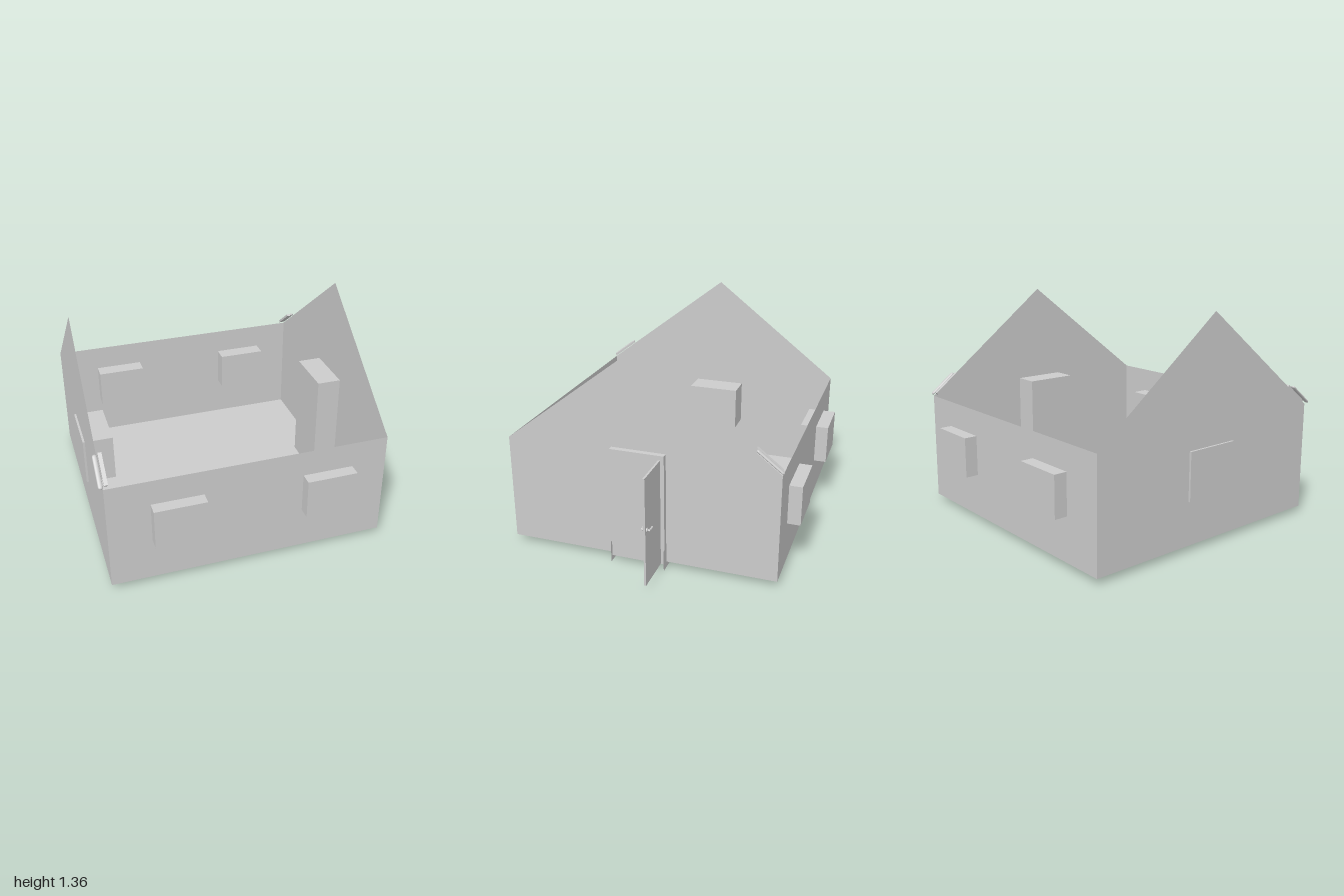
import * as THREE from 'three';

const material = new THREE.MeshStandardMaterial({ color: 0xcccccc, side: THREE.DoubleSide });

export function createModel() {
  const house = new THREE.Group();
  house.name = 'openHouse';

  const add = (name, geometry, parent = house) => {
    const mesh = new THREE.Mesh(geometry, material);
    mesh.name = name;
    parent.add(mesh);
    return mesh;
  };
  // box given by its limits on each axis
  const block = (name, [x0, x1], [y0, y1], [z0, z1], parent) => {
    const mesh = add(name, new THREE.BoxGeometry(x1 - x0, y1 - y0, z1 - z0), parent);
    mesh.position.set((x0 + x1) / 2, (y0 + y1) / 2, (z0 + z1) / 2);
    return mesh;
  };

  const left = 0.715, right = -0.972, depth = 0.84;
  const base = 0.037, eaves = 0.713, ridge = 1.36;
  const width = left - right, midX = (left + right) / 2;

  // Floor sheet
  const floor = add('floor', new THREE.PlaneGeometry(width, depth * 2).rotateX(-Math.PI / 2));
  floor.position.set(midX, base, 0);

  // Long walls, each with two window boxes passing through
  for (const s of [1, -1]) {
    const wall = add(s > 0 ? 'frontWall' : 'backWall', new THREE.PlaneGeometry(width, eaves - base));
    wall.position.set(midX, (base + eaves) / 2, s * depth);
    if (s < 0) wall.rotation.y = Math.PI;
    const z = s > 0 ? [0.73, 0.915] : [-0.92, -0.738];
    block('window', [-0.72, -0.41], [0.305, 0.555], z);
    block('window', [0.19, 0.5], [0.303, 0.552], z);
  }

  // Gable walls
  const gable = new THREE.Shape([
    [-depth, base], [depth, base], [depth, eaves], [0, ridge], [-depth, eaves],
  ].map(([x, y]) => new THREE.Vector2(x, y)));
  for (const [name, x, turn] of [['leftGable', left, 1], ['rightGable', right, -1]]) {
    const wall = add(name, new THREE.ShapeGeometry(gable));
    wall.position.x = x;
    wall.rotation.y = turn * Math.PI / 2;
  }
  block('gableWindow', [-0.985, -0.8], [0.303, 0.597], [-0.178, 0.17]);

  // Door casing with a thin foot plate on both sides
  block('doorCasing', [0.563, 0.748], [0.035, 0.743], [-0.165, 0.17]);
  for (const z of [0.171, -0.166]) {
    const plate = add('casingFoot', new THREE.PlaneGeometry(0.13, 0.135));
    plate.position.set(0.7, 0.0675, z);
  }

  // Door standing open at a right angle
  const door = new THREE.Group();
  door.name = 'door';
  house.add(door);
  block('doorPanel', [0.715, 0.995], [0.038, 0.715], [-0.142, -0.13], door);

  // Handle: spindle through the panel, rose and lever on each face
  const spindle = add('handleSpindle', new THREE.CylinderGeometry(0.006, 0.006, 0.055, 12).rotateX(Math.PI / 2), door);
  spindle.position.set(0.972, 0.39, -0.136);
  for (const s of [1, -1]) {
    const rose = add('handleRose', new THREE.CylinderGeometry(0.013, 0.013, 0.006, 16).rotateX(Math.PI / 2), door);
    rose.position.set(0.972, 0.39, -0.136 + s * 0.009);
    const lever = add('handleLever', new THREE.CapsuleGeometry(0.006, 0.036, 4, 10).rotateZ(Math.PI / 2), door);
    lever.position.set(0.95, 0.39, -0.136 + s * 0.024);
  }

  // Verge pieces on two opposite corners: a flat strip beside a round-ended one
  const slope = Math.atan2(ridge - eaves, depth);
  const verge = (name, flatX, roundX, s) => {
    const group = new THREE.Group();
    group.name = name;
    group.position.set(0, 0.782, s * 0.768);
    group.rotation.x = s * slope;
    house.add(group);
    add('vergeStrip', new THREE.BoxGeometry(0.022, 0.014, 0.19), group).position.set(flatX, 0, -s * 0.012);
    const cap = add('vergeCap', new THREE.CapsuleGeometry(0.014, 0.172, 5, 12).rotateX(Math.PI / 2), group);
    cap.scale.y = 0.6;
    cap.position.set(roundX, 0.005, 0);
  };
  verge('frontVerge', -0.953, -0.984, 1);
  verge('backVerge', 0.688, 0.716, -1);

  return house;
}
